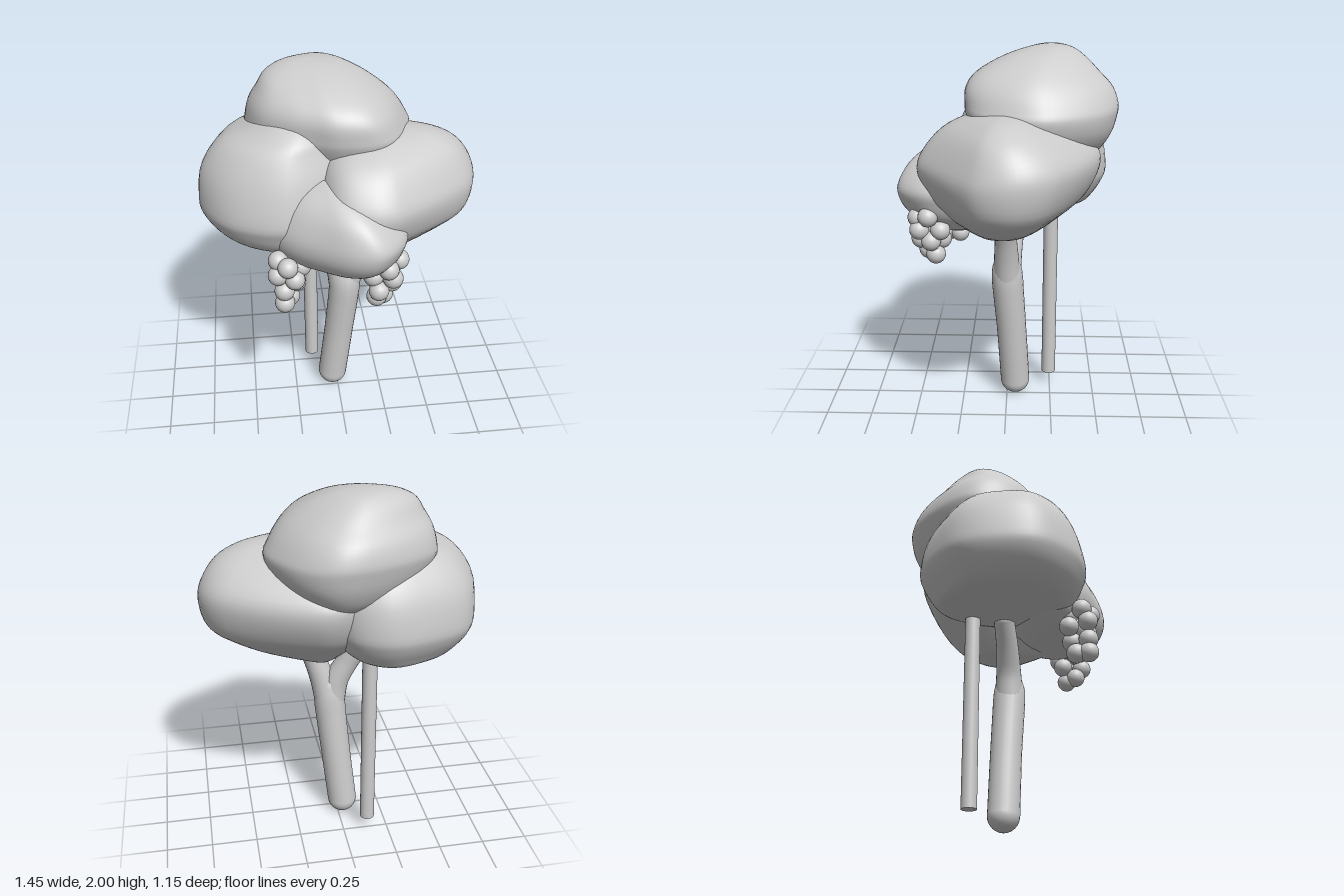
import * as THREE from 'three';
import { mergeVertices } from 'three/addons/utils/BufferGeometryUtils.js';

const V = (p) => new THREE.Vector3(...p);

// Rounded lump lofted from the top down. outline: [x, z] plan, clockwise from above.
// levels: [y, xMin, xMax, zMin, zMax], the bounds the plan is fitted to at each height.
function lumpGeometry(outline, levels) {
  const plan = outline.map(([x, z]) => new THREE.Vector3(x, 0, z));
  const box = new THREE.Box3().setFromPoints(plan);
  const size = box.getSize(new THREE.Vector3());
  const loop = new THREE.CatmullRomCurve3(plan, true);
  const low = new THREE.CatmullRomCurve3(levels.map((l) => V([l[1], l[0], l[3]])), false, 'catmullrom');
  const high = new THREE.CatmullRomCurve3(levels.map((l) => V([l[2], l[0], l[4]])), false, 'catmullrom');
  const rows = 36, sides = 56;
  const verts = [], index = [];
  for (let i = 0; i <= rows; i++) {
    const a = low.getPoint(i / rows), b = high.getPoint(i / rows);
    for (let j = 0; j < sides; j++) {
      const p = loop.getPoint(j / sides);
      verts.push(
        THREE.MathUtils.lerp(a.x, b.x, (p.x - box.min.x) / size.x), a.y,
        THREE.MathUtils.lerp(a.z, b.z, (p.z - box.min.z) / size.z));
      if (i === rows) continue;
      const q = i * sides + j, r = i * sides + ((j + 1) % sides);
      index.push(q, r, q + sides, r, r + sides, q + sides);
    }
  }
  let geo = new THREE.BufferGeometry();
  geo.setAttribute('position', new THREE.Float32BufferAttribute(verts, 3));
  geo.setIndex(index);
  geo = mergeVertices(geo);
  geo.computeVertexNormals();
  return geo;
}

// Tapered tube through points, each given as [x, y, z, radius]
function limbGeometry(nodes) {
  const curve = new THREE.CatmullRomCurve3(nodes.map((n) => V(n.slice(0, 3))));
  const steps = 32, sides = 24;
  const geo = new THREE.TubeGeometry(curve, steps, 1, sides);
  const pos = geo.attributes.position;
  const v = new THREE.Vector3();
  for (let i = 0; i <= steps; i++) {
    const u = i / steps;
    const c = curve.getPointAt(u);
    const t = curve.getUtoTmapping(u) * (nodes.length - 1);
    const a = Math.min(Math.floor(t), nodes.length - 2);
    const r = THREE.MathUtils.lerp(nodes[a][3], nodes[a + 1][3], t - a);
    for (let j = 0; j <= sides; j++) {
      const n = i * (sides + 1) + j;
      v.fromBufferAttribute(pos, n).sub(c).multiplyScalar(r).add(c);
      pos.setXYZ(n, v.x, v.y, v.z);
    }
  }
  geo.computeVertexNormals();
  return geo;
}

export function createModel() {
  const model = new THREE.Group();
  const grey = new THREE.MeshStandardMaterial({ color: 0xcccccc });
  grey.name = 'plain grey';
  const add = (name, geo, parent = model) => {
    const mesh = new THREE.Mesh(geo, grey);
    mesh.name = name;
    parent.add(mesh);
    return mesh;
  };
  const ball = (name, [x, y, z, r], parent) =>
    add(name, new THREE.SphereGeometry(r, 24, 16), parent).position.set(x, y, z);

  // Trunk with a rounded foot, forking into two branches
  const limbs = {
    trunk: [[-0.028, 0.084, -0.047, 0.083], [0.008, 0.42, -0.027, 0.083], [0.036, 0.72, -0.005, 0.087],
      [0.039, 0.79, -0.002, 0.084], [0.039, 0.86, -0.005, 0.066], [0.039, 0.91, -0.005, 0.03]],
    rightBranch: [[0.028, 0.72, -0.005, 0.076], [0.0, 0.86, -0.015, 0.068], [-0.06, 0.98, -0.035, 0.06],
      [-0.135, 1.11, -0.07, 0.055]],
    leftBranch: [[0.042, 0.72, -0.005, 0.076], [0.075, 0.86, 0, 0.068], [0.115, 0.98, 0.002, 0.06],
      [0.18, 1.14, 0.005, 0.055]],
  };
  for (const [name, nodes] of Object.entries(limbs)) {
    const limb = new THREE.Group();
    limb.name = name;
    model.add(limb);
    add(name + 'Shaft', limbGeometry(nodes), limb);
    ball(name + 'End', name === 'trunk' ? nodes[0] : nodes.at(-1), limb);
  }

  // Straight support pole behind the trunk
  add('supportPole', new THREE.CylinderGeometry(0.04, 0.04, 1.04, 24)).position.set(-0.137, 0.6, -0.243);

  // Crown lumps
  add('topFoliage', lumpGeometry(
    [[-0.46, -0.19], [-0.43, -0.33], [-0.28, -0.46], [-0.03, -0.565], [0.11, -0.565], [0.23, -0.49], [0.33, -0.35],
      [0.39, -0.18], [0.36, -0.02], [0.28, 0.13], [0.18, 0.2], [0, 0.21], [-0.13, 0.16], [-0.27, 0.09], [-0.4, -0.02]],
    [[2.0, -0.13, -0.13, -0.23, -0.23], [1.985, -0.25, 0.02, -0.33, -0.12], [1.94, -0.35, 0.14, -0.4, 0.02],
      [1.87, -0.4, 0.25, -0.47, 0.15], [1.8, -0.44, 0.32, -0.535, 0.205], [1.72, -0.46, 0.37, -0.565, 0.21],
      [1.66, -0.46, 0.39, -0.56, 0.2], [1.56, -0.4, 0.35, -0.53, 0.15], [1.46, -0.3, 0.25, -0.46, 0.05],
      [1.38, -0.12, 0.12, -0.32, -0.12], [1.36, 0, 0, -0.2, -0.2]]));
  add('rightFoliage', lumpGeometry(
    [[-0.725, -0.03], [-0.7, -0.2], [-0.6, -0.4], [-0.4, -0.5], [-0.17, -0.54], [0, -0.45], [0.08, -0.25], [0.08, 0],
      [0, 0.18], [-0.1, 0.26], [-0.3, 0.33], [-0.52, 0.26], [-0.65, 0.14]],
    [[1.79, -0.22, -0.22, -0.05, -0.05], [1.77, -0.32, -0.12, -0.17, 0.08], [1.71, -0.46, -0.03, -0.32, 0.18],
      [1.64, -0.6, 0.02, -0.42, 0.23], [1.5, -0.7, 0.08, -0.51, 0.29], [1.33, -0.725, 0.08, -0.54, 0.33],
      [1.25, -0.71, 0.06, -0.52, 0.31], [1.17, -0.65, 0.02, -0.47, 0.27], [1.12, -0.57, -0.06, -0.42, 0.2],
      [1.1, -0.46, -0.18, -0.28, 0.06], [1.095, -0.32, -0.32, -0.1, -0.1]]));
  add('leftFoliage', lumpGeometry(
    [[0.72, -0.02], [0.68, 0.12], [0.58, 0.22], [0.3, 0.41], [0.22, 0.45], [0.12, 0.46], [-0.02, 0.41], [-0.1, 0.24],
      [-0.1, -0.15], [-0.06, -0.4], [0.1, -0.48], [0.27, -0.44], [0.6, -0.26], [0.69, -0.15]],
    [[1.705, 0.3, 0.3, 0, 0], [1.69, 0.15, 0.43, -0.12, 0.12], [1.66, 0.02, 0.53, -0.22, 0.22],
      [1.6, -0.06, 0.63, -0.35, 0.33], [1.5, -0.1, 0.7, -0.47, 0.42], [1.4, -0.1, 0.72, -0.48, 0.46],
      [1.27, -0.1, 0.69, -0.42, 0.42], [1.19, -0.08, 0.6, -0.34, 0.36], [1.1, -0.02, 0.44, -0.23, 0.27],
      [1.03, 0.04, 0.24, -0.13, 0.17], [1.0, 0.1, 0.1, -0.03, -0.03]]));
  add('frontFoliage', lumpGeometry(
    [[-0.385, 0.2], [-0.37, 0.1], [-0.28, 0], [-0.1, -0.05], [0.15, -0.03], [0.28, 0.15], [0.3, 0.38], [0.24, 0.49],
      [0.14, 0.565], [0.02, 0.55], [-0.13, 0.46], [-0.3, 0.33]],
    [[1.53, -0.1, -0.1, 0.22, 0.22], [1.51, -0.18, 0, 0.12, 0.32], [1.47, -0.26, 0.12, 0.05, 0.42],
      [1.4, -0.33, 0.22, -0.02, 0.51], [1.3, -0.38, 0.3, -0.05, 0.565], [1.22, -0.385, 0.29, -0.05, 0.56],
      [1.15, -0.36, 0.26, -0.03, 0.52], [1.1, -0.31, 0.21, 0.02, 0.46], [1.05, -0.15, 0.14, 0.12, 0.36],
      [1.04, 0, 0, 0.25, 0.25]]));

  // Hanging fruit bunches
  const bunches = {
    leftFruitBunch: [
      [0.26, 1.16, 0.4], [0.2, 1.14, 0.46], [0.17, 1.13, 0.37], [0.13, 1.08, 0.42], [0.225, 1.08, 0.45],
      [0.23, 1.08, 0.34], [0.155, 1.01, 0.45], [0.23, 1.02, 0.39], [0.155, 1.01, 0.34],
      [0.15, 0.95, 0.41], [0.19, 0.935, 0.37],
    ],
    rightFruitBunch: [
      [-0.34, 1.13, 0.3], [-0.295, 1.12, 0.36], [-0.26, 1.12, 0.25], [-0.345, 1.06, 0.33], [-0.225, 1.09, 0.3],
      [-0.26, 1.04, 0.35], [-0.3, 1.04, 0.24], [-0.315, 0.97, 0.34], [-0.25, 0.975, 0.27],
      [-0.315, 0.895, 0.34], [-0.285, 0.895, 0.28],
    ],
  };
  for (const [name, fruit] of Object.entries(bunches)) {
    const bunch = new THREE.Group();
    bunch.name = name;
    model.add(bunch);
    fruit.forEach((p) => ball('fruit', [...p, 0.052], bunch));
  }
  return model;
}
